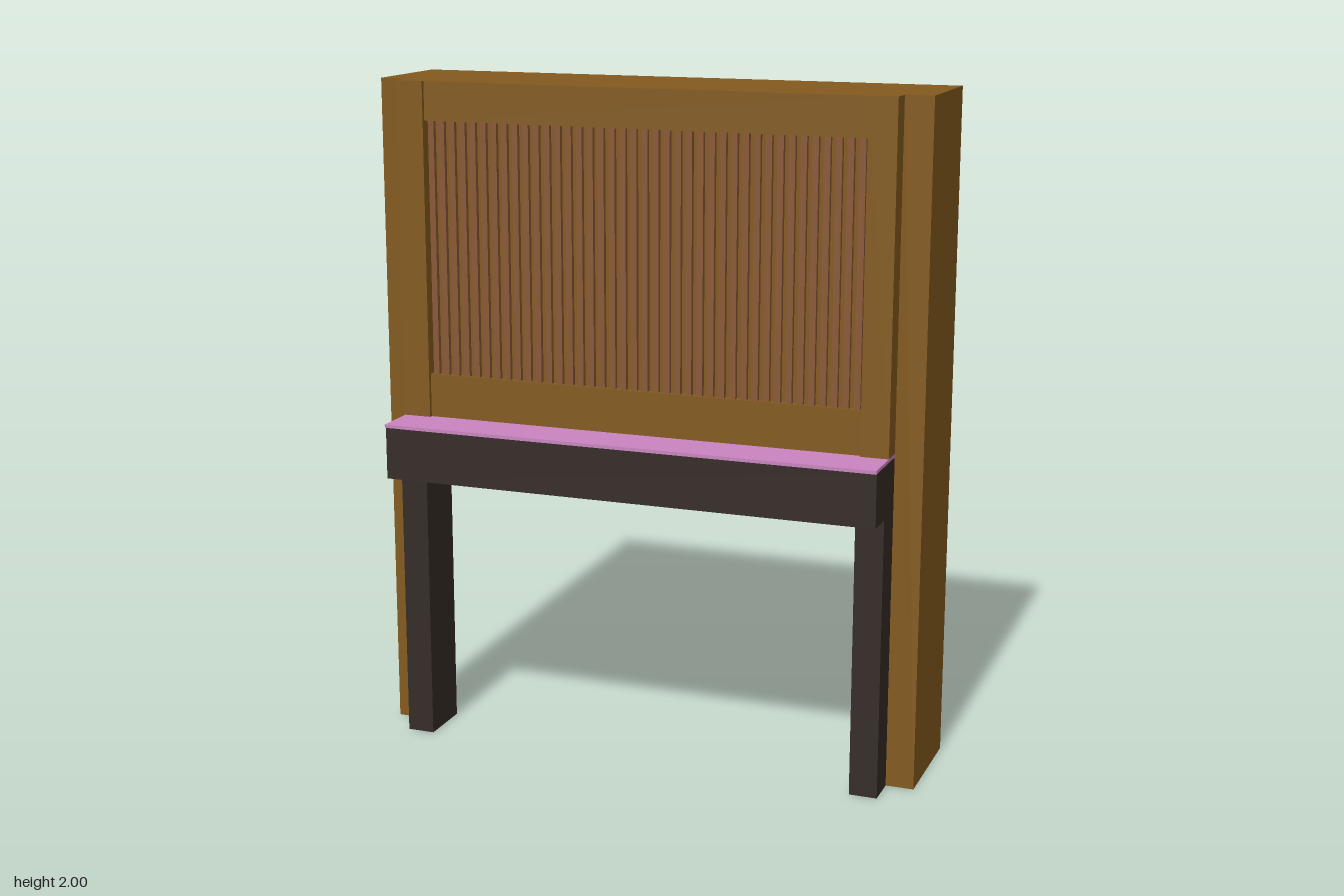
import * as THREE from 'three';

const W = 0.833, P = 0.75, I = 0.667;          // half widths: case, post, opening
const BACK = -0.267, FACE = 0.067, POST = 0.133, RAIL = 0.122, LEG = 0.167, APRON = 0.26, SHELF = 0.267;

const material = (color) => new THREE.MeshStandardMaterial({ color, side: THREE.DoubleSide, flatShading: true });

export function createModel() {
  const group = new THREE.Group();
  const oak = material(0x835a1e);
  const dark = material(0x352c27);
  const pink = material(0xc985c0);
  const reed = material(0x8a5836);

  const add = (name, geometry, mat) => {
    const mesh = new THREE.Mesh(geometry, mat);
    mesh.name = name;
    group.add(mesh);
    return mesh;
  };

  // Upright sheet following a path of [x, z] points
  const wall = (name, path, y0, y1, mat) => {
    const pos = [], index = [];
    for (let i = 0; i + 1 < path.length; i++) {
      const [ax, az] = path[i], [bx, bz] = path[i + 1], k = i * 4;
      pos.push(ax, y0, az, bx, y0, bz, bx, y1, bz, ax, y1, az);
      index.push(k, k + 1, k + 2, k, k + 2, k + 3);
    }
    const g = new THREE.BufferGeometry();
    g.setAttribute('position', new THREE.Float32BufferAttribute(pos, 3));
    g.setIndex(index);
    g.computeVertexNormals();
    return add(name, g, mat);
  };

  // Level plate from an outline of [x, z] points on the +x half, mirrored
  const plate = (name, half, y, thickness, mat) => {
    const outline = [...half, ...half.map(([x, z]) => [-x, z]).reverse()];
    const shape = new THREE.Shape(outline.map(([x, z]) => new THREE.Vector2(x, -z)));
    const g = thickness
      ? new THREE.ExtrudeGeometry(shape, { depth: thickness, bevelEnabled: false })
      : new THREE.ShapeGeometry(shape);
    g.rotateX(-Math.PI / 2).translate(0, y, 0);
    return add(name, g, mat);
  };

  for (const s of [1, -1]) {
    const side = s > 0 ? 'left' : 'right';
    const m = (path) => path.map(([x, z]) => [s * x, z]);
    // Case side with its front flange, open at the back
    wall(side + 'CaseSide', m([[W, BACK], [W, FACE], [P, FACE]]), 0, 2, oak);
    // Upper post
    wall(side + 'Post', m([[P, FACE], [P, POST], [I, POST], [I, 0.1]]), 1, 2, oak);
    // Leg: hollow channel with a deep inner face
    wall(side + 'Leg', m([[P, FACE], [P, LEG], [I, LEG], [I, 0]]), 0, 0.833, dark);
  }

  // Top of the case
  plate('caseTop', [[W, BACK], [W, FACE], [P, FACE], [P, POST], [I, POST], [I, RAIL]], 2, 0, oak);

  // Grille frame and backing
  const rail = (name, y0, y1) => {
    const g = new THREE.BoxGeometry(2 * I, y1 - y0, 0.022);
    add(name, g, oak).position.set(0, (y0 + y1) / 2, RAIL - 0.011);
  };
  rail('topRail', 1.885, 1.999);
  rail('bottomRail', 1.0, 1.13);
  wall('grilleBacking', [[-I, 0.1], [I, 0.1]], 1.13, 1.885, oak);

  // Upright grille slats
  const count = 40, pitch = (2 * I) / count;
  const slat = new THREE.BoxGeometry(pitch * 0.55, 0.755, 0.014);
  for (let i = 0; i < count; i++) {
    add('grilleSlat', slat, reed).position.set(-I + (i + 0.5) * pitch, 1.5075, 0.108);
  }

  // Shelf, notched around the grille, over a hollow apron
  plate('shelf', [[I, RAIL], [I, FACE], [P, FACE], [P, SHELF]], 0.99, 0.01, pink);
  wall('apron', [[-P, FACE], [-P, APRON], [P, APRON], [P, FACE]], 0.833, 0.99, dark);
  plate('apronBottom', [[I, 0], [I, FACE], [P, FACE], [P, APRON]], 0.833, 0, dark);

  return group;
}
